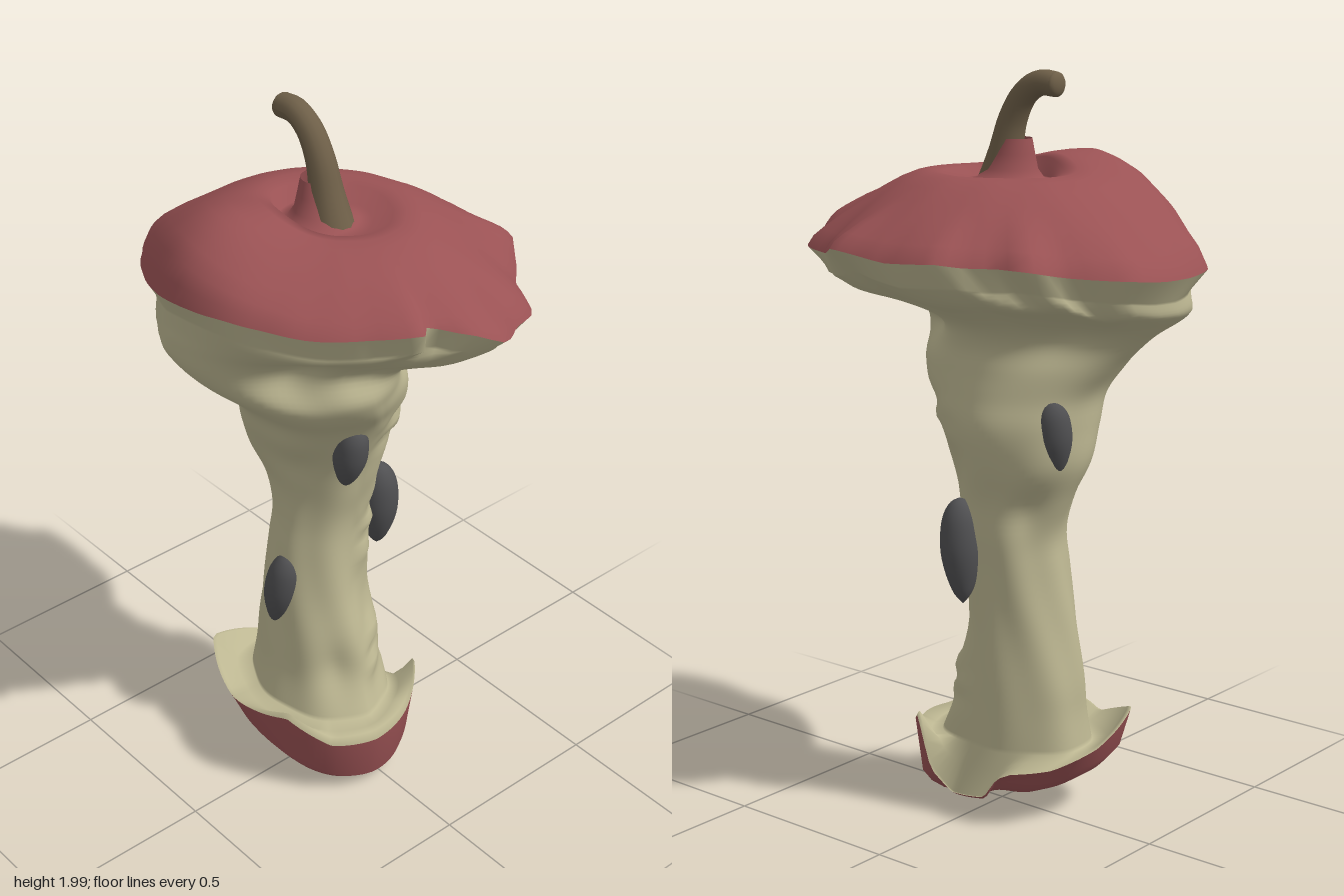
import * as THREE from 'three';

const SIDES = 96;
const { lerp, smoothstep } = THREE.MathUtils;
const bump = (x, c, w) => Math.exp(-(((x - c) / w) ** 2));

// Closed-ring loft, rings ordered so that faces point outward
function loft(rings) {
  const pos = [], index = [];
  rings.forEach(ring => ring.forEach(p => pos.push(p.x, p.y, p.z)));
  for (let i = 0; i < rings.length - 1; i++) {
    for (let j = 0; j < SIDES; j++) {
      const k = (j + 1) % SIDES;
      const a = i * SIDES + j, b = i * SIDES + k, c = a + SIDES, d = b + SIDES;
      index.push(a, c, b, b, c, d);
    }
  }
  const g = new THREE.BufferGeometry();
  g.setAttribute('position', new THREE.Float32BufferAttribute(pos, 3));
  g.setIndex(index);
  g.computeVertexNormals();
  return g;
}

const makeRing = f => Array.from({ length: SIDES }, (_, j) => f(j / SIDES * Math.PI * 2, j));

// Resample an irregular rim [x, y, z] at even angles
function sampleRim(points) {
  const polar = points.map(([x, y, z]) => ({
    a: (Math.atan2(z, x) + Math.PI * 2) % (Math.PI * 2), r: Math.hypot(x, z), y,
  })).sort((p, q) => p.a - q.a);
  const first = polar[0], last = polar[polar.length - 1];
  polar.unshift({ ...last, a: last.a - Math.PI * 2 });
  polar.push({ ...first, a: first.a + Math.PI * 2 });
  return makeRing(a => {
    const i = polar.findIndex(p => p.a > a), p = polar[i - 1], q = polar[i];
    const t = (a - p.a) / (q.a - p.a), r = lerp(p.r, q.r, t);
    return new THREE.Vector3(Math.cos(a) * r, lerp(p.y, q.y, t), Math.sin(a) * r);
  });
}

// Rim averaged with its neighbours
const smoothRim = rim => rim.map((_, j) => {
  const sum = new THREE.Vector3();
  for (let k = -6; k <= 6; k++) sum.add(rim[(j + k + SIDES) % SIDES]);
  return sum.divideScalar(13);
});

// Torn edge of the upper skin
const TOP_RIM = [
  [0.545, 1.57, -0.08], [0.52, 1.61, 0], [0.435, 1.63, 0.08], [0.485, 1.645, 0.13],
  [0.4, 1.63, 0.22], [0.3, 1.62, 0.32], [0.2, 1.625, 0.38], [0.1, 1.63, 0.43],
  [0, 1.62, 0.45], [-0.07, 1.61, 0.45], [-0.18, 1.58, 0.42], [-0.3, 1.555, 0.365],
  [-0.42, 1.53, 0.28], [-0.53, 1.51, 0.17], [-0.545, 1.505, 0.08], [-0.55, 1.51, -0.05],
  [-0.53, 1.52, -0.14], [-0.4, 1.53, -0.25], [-0.355, 1.55, -0.34], [-0.27, 1.55, -0.345],
  [-0.2, 1.55, -0.39], [-0.15, 1.56, -0.44], [0, 1.55, -0.452], [0.1, 1.56, -0.45],
  [0.18, 1.57, -0.455], [0.225, 1.55, -0.42], [0.32, 1.53, -0.33], [0.445, 1.53, -0.27],
  [0.475, 1.54, -0.18],
];

// Edge of the lower skin
const BASE_RIM = [
  [0.25, 0.185, 0.05], [0.2, 0.195, 0.17], [0.1, 0.275, 0.25], [-0.02, 0.25, 0.28],
  [-0.14, 0.22, 0.26], [-0.3, 0.29, 0.19], [-0.31, 0.22, 0.02], [-0.25, 0.18, -0.1],
  [-0.16, 0.165, -0.16], [-0.12, 0.145, -0.168], [-0.08, 0.085, -0.175], [0.03, 0.075, -0.18],
  [0.09, 0.13, -0.195], [0.14, 0.27, -0.19], [0.22, 0.2, -0.09],
];

// Core cross-sections: y, right, left, front and back extent
const CORE = [
  [0.21, 0.18, 0.26, 0.18, 0.15], [0.3, 0.14, 0.25, 0.16, 0.15], [0.4, 0.12, 0.245, 0.15, 0.15],
  [0.55, 0.08, 0.225, 0.135, 0.15], [0.7, 0.06, 0.205, 0.12, 0.16], [0.8, 0.06, 0.2, 0.11, 0.17],
  [0.9, 0.08, 0.235, 0.115, 0.175], [1.0, 0.1, 0.28, 0.15, 0.2], [1.1, 0.14, 0.29, 0.185, 0.22],
  [1.18, 0.18, 0.3, 0.21, 0.21], [1.25, 0.225, 0.345, 0.275, 0.2], [1.31, 0.25, 0.395, 0.34, 0.2],
  [1.37, 0.27, 0.455, 0.39, 0.23], [1.42, 0.33, 0.495, 0.405, 0.29], [1.46, 0.41, 0.515, 0.41, 0.36],
  [1.51, 0.48, 0.515, 0.42, 0.42],
];

// Bite marks: angle, y, angular width, height, depth
const BITES = [
  [0.75, 1.4, 0.4, 0.07, 0.1], [0.1, 1.39, 0.3, 0.04, 0.05], [2.6, 1.3, 0.5, 0.08, 0.02],
  [4.0, 1.36, 0.45, 0.08, 0.05], [5.4, 1.36, 0.3, 0.06, 0.05], [1.1, 1.02, 0.4, 0.06, 0.015],
  [5.9, 0.55, 0.35, 0.09, 0.015], [3.9, 0.88, 0.35, 0.06, 0.02], [0.5, 0.35, 0.35, 0.07, 0.02],
];

// Smooth cross-section values between level i and i + 1
function coreLevel(i, t) {
  const at = n => CORE[Math.min(Math.max(n, 0), CORE.length - 1)];
  return CORE[i].map((b, k) => {
    const a = at(i - 1)[k], c = at(i + 1)[k], d = at(i + 2)[k];
    return b + 0.5 * t * (c - a + t * (2 * a - 5 * b + 4 * c - d + t * (3 * (b - c) + d - a)));
  });
}

function coreRing([y, xr, xl, zf, zb], rim) {
  return makeRing((a, j) => {
    let d = 0.003 * Math.sin(7 * a + 2 * Math.sin(6 * y));
    // Ragged strip along the right-hand back
    d += 0.009 * bump(a, 5.75, 0.5) * Math.sin(30 * y + 3 * Math.sin(17 * y)) * Math.sin(4 * a + 9 * y);
    for (const [ba, by, w, h, depth] of BITES) {
      const da = Math.atan2(Math.sin(a - ba), Math.cos(a - ba));
      d -= depth * bump(da, 0, w) * bump(y, by, h);
    }
    const lift = smoothstep(y, 1.32, 1.52) * (rim[j].y - 1.57);
    const x = (xr - xl) / 2 + Math.cos(a) * ((xr + xl) / 2 + d);
    const z = (zf - zb) / 2 + Math.sin(a) * ((zf + zb) / 2 + d);
    // Stay under the overhanging skin
    const fit = Math.min(1, 0.95 * Math.hypot(rim[j].x, rim[j].z) / Math.hypot(x, z));
    return new THREE.Vector3(x * fit, y + lift, z * fit);
  });
}

export function createModel() {
  const group = new THREE.Group();
  const material = (name, color, side = THREE.FrontSide) => {
    const m = new THREE.MeshStandardMaterial({ color, side });
    m.name = name;
    return m;
  };
  const skin = material('red skin', 0x9a5254, THREE.DoubleSide);
  const flesh = material('pale flesh', 0xbdb792, THREE.DoubleSide);
  const wood = material('brown stem', 0x6e5f48);
  const dark = material('dark seed', 0x505052);
  const add = (name, geometry, mat) => {
    const mesh = new THREE.Mesh(geometry, mat);
    mesh.name = name;
    group.add(mesh);
    return mesh;
  };
  const topRim = sampleRim(TOP_RIM), baseRim = sampleRim(BASE_RIM);

  // Eaten core with a raised lip over the lower skin, up to the upper skin edge
  const rings = [];
  for (let i = 0; i < CORE.length - 1; i++) {
    for (let s = 0; s < 5; s++) rings.push(coreRing(coreLevel(i, s / 5), topRim));
  }
  rings.push(coreRing(CORE[CORE.length - 1], topRim), topRim);
  const lip = baseRim.map((p, j) => {
    const rise = 0.028 * Math.max(0, Math.cos(j / SIDES * Math.PI * 2 - 0.2));
    return new THREE.Vector3(p.x * 0.97, p.y + rise, p.z * 0.97);
  });
  const inner = baseRim.map((p, j) => {
    const q = p.clone().lerp(rings[0][j], 0.6);
    q.y = Math.min(q.y, 0.21);
    return q;
  });
  add('core', loft([baseRim, lip, inner, ...rings]), flesh);

  // Upper skin: shallow dome, fuller at the front, with a hollow round the stem.
  // Each entry: radius fraction, general rise, rise at the front
  const capProfile = [[1, 0, 0], [0.97, 0.12, 0.3], [0.92, 0.23, 0.58], [0.84, 0.39, 0.78],
    [0.75, 0.55, 0.91], [0.66, 0.71, 1], [0.56, 0.86, 1.01], [0.47, 0.96, 1], [0.39, 1, 0.98],
    [0.32, 0.97, 0.93]];
  const evenRim = smoothRim(topRim);
  const capRings = capProfile.map(([t, low, full]) => topRim.map((rimPoint, j) => {
    const a = j / SIDES * Math.PI * 2, front = bump(a, 1.85, 0.7);
    const crest = 1.737 + 0.038 * front;
    const p = evenRim[j].clone().lerp(rimPoint, smoothstep(t, 0.6, 1));
    return new THREE.Vector3(p.x * t, lerp(p.y, crest, lerp(low, full, front)), p.z * t);
  }));
  // Hollow and the small cone that climbs the left of the stem: radius, y, x shift
  for (const [r, y, dx] of [[0.12, 1.71, 0], [0.09, 1.715, -0.005], [0.066, 1.74, -0.014],
    [0.052, 1.78, -0.022], [0.04, 1.82, -0.028]]) {
    capRings.push(makeRing(a => new THREE.Vector3(
      Math.cos(a) * r + dx, y, 0.025 + Math.sin(a) * r)));
  }
  add('upperSkin', loft(capRings), skin);

  // Lower skin: tilted cup with a dimple
  const baseProfile = [[0.001, 0.075], [0.12, 0.065], [0.3, 0.045], [0.5, 0.04], [0.68, 0.05],
    [0.82, 0.07], [0.92, 0.1], [1, 1]];
  add('lowerSkin', loft(baseProfile.map(([t, y]) => baseRim.map((p, j) => {
    if (t === 1) return p;
    const x = p.x * t, z = p.z * t;
    const ridge = 0.005 * Math.sin(j / SIDES * Math.PI * 10) * Math.sin(t * Math.PI);
    const h = y - 0.24 * x + 1.0 * (z - 0.03) ** 2 + ridge;
    return new THREE.Vector3(x, Math.max(0, Math.min(h, p.y - 0.01)), z);
  }))), skin);

  // Curved stem, tapered along its path
  const path = new THREE.CatmullRomCurve3([[0.03, 1.69], [0.005, 1.78], [-0.02, 1.87], [-0.06, 1.935],
    [-0.11, 1.964], [-0.16, 1.962]].map(([x, y]) => new THREE.Vector3(x, y, 0.02)));
  const stem = new THREE.TubeGeometry(path, 24, 1, 14);
  const sp = stem.attributes.position, v = new THREE.Vector3();
  for (let i = 0; i < sp.count; i++) {
    const t = Math.floor(i / 15) / 24, c = path.getPointAt(t);
    const r = 0.038 - 0.006 * t + 0.022 * (1 - t) ** 3;
    v.fromBufferAttribute(sp, i).sub(c).multiplyScalar(r).add(c);
    sp.setXYZ(i, v.x, v.y, v.z);
  }
  stem.computeVertexNormals();
  add('stem', stem, wood);
  const tip = add('stemTip', new THREE.SphereGeometry(0.032, 16, 12), wood);
  tip.position.set(-0.16, 1.962, 0.02);
  tip.scale.x = 0.5;

  // Seeds: rounded above, narrower below
  const seedShape = new THREE.LatheGeometry(new THREE.SplineCurve([[0, -1], [0.45, -0.78], [0.84, -0.35],
    [1, 0.1], [0.87, 0.6], [0.48, 0.9], [0, 1]].map(p => new THREE.Vector2(...p))).getPoints(20), 20);
  const seeds = [
    ['frontSeed', -0.07, 0.56, 0.118, 0.052, 0.127, -0.08, -0.17],
    ['leftSeed', 0.125, 1.075, 0.045, 0.046, 0.105, 0, -0.2],
    ['backSeed', 0, 0.755, -0.168, 0.056, 0.142, 0.04, -0.07],
    ['rightSeed', -0.245, 1.08, -0.09, 0.048, 0.11, -0.16, 0.03],
  ];
  for (const [name, x, y, z, r, h, rx, rz] of seeds) {
    const seed = add(name, seedShape, dark);
    seed.position.set(x, y, z);
    seed.scale.set(r, h, r);
    seed.rotation.set(rx, 0, rz);
  }
  return group;
}
